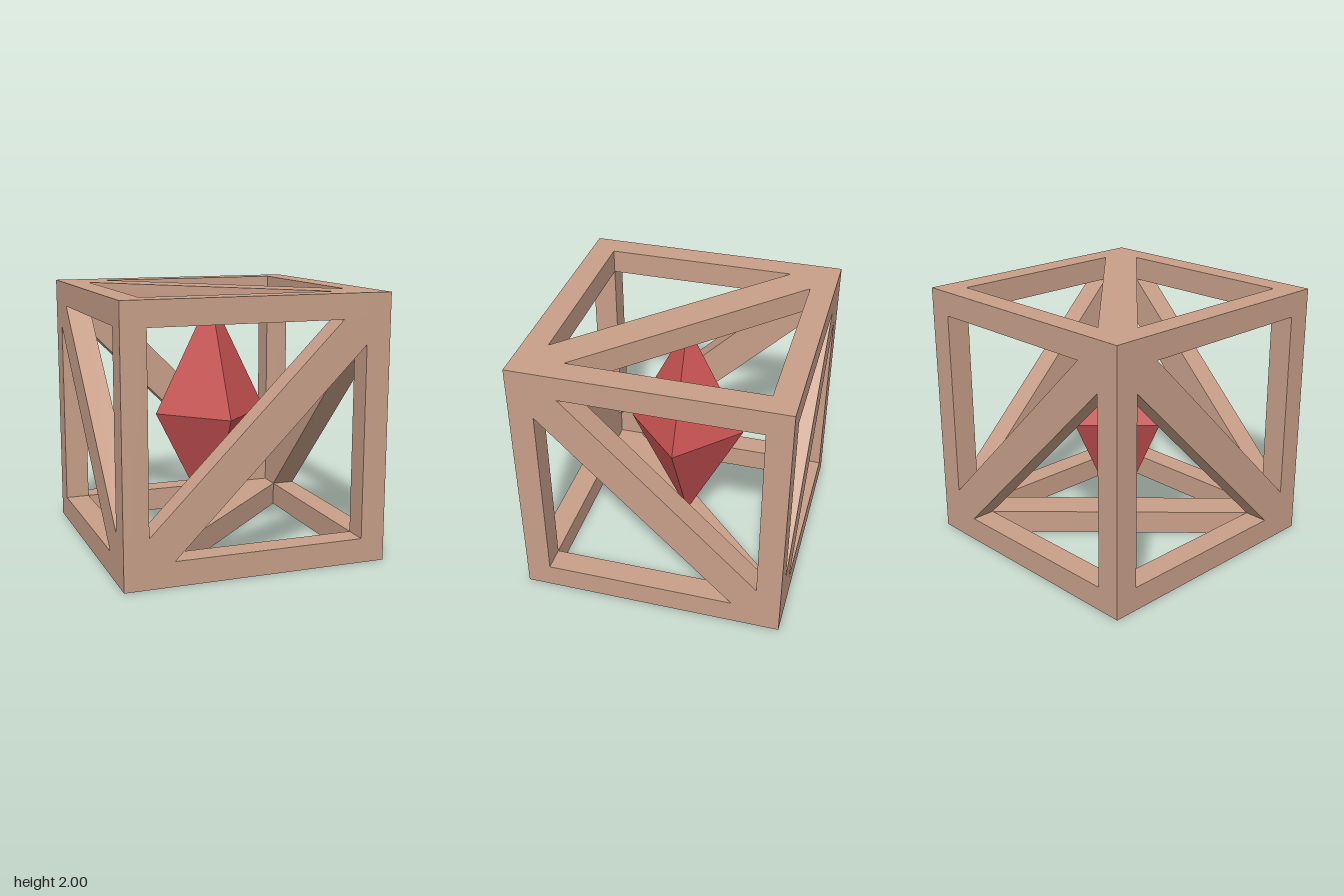
import * as THREE from 'three';

const T = 0.185;          // beam thickness
const IN = 1 - T;         // half size of each face opening
const MID = 1 - T / 2;    // beam centre line

export function createModel() {
  const model = new THREE.Group();
  const wood = new THREE.MeshStandardMaterial({ color: 0xc89f89, flatShading: true });
  const red = new THREE.MeshStandardMaterial({ color: 0xc85252, flatShading: true });

  const cage = new THREE.Group();
  cage.name = 'cage';
  cage.position.y = 1;
  model.add(cage);

  const beam = (name, size, pos) => {
    const mesh = new THREE.Mesh(new THREE.BoxGeometry(...size), wood);
    mesh.name = name;
    mesh.position.set(...pos);
    cage.add(mesh);
  };

  // Four corner posts, with rails butted between them at top and bottom
  for (const a of [-1, 1]) {
    for (const b of [-1, 1]) {
      beam('cornerPost', [T, 2, T], [a * MID, 0, b * MID]);
      beam('crossRail', [2 * IN, T, T], [0, a * MID, b * MID]);
      beam('sideRail', [T, T, 2 * IN], [a * MID, b * MID, 0]);
    }
  }

  // One diagonal brace per face, its ends pointed to fit the opening's corners
  const s = IN - T;
  const outline = [[-IN, -IN], [-s, -IN], [IN, s], [IN, IN], [s, IN], [-IN, -s]];
  const braceGeometry = new THREE.ExtrudeGeometry(
    new THREE.Shape(outline.map(([x, y]) => new THREE.Vector2(x, y))),
    { depth: T, bevelEnabled: false }
  );
  braceGeometry.translate(0, 0, IN);
  const Q = Math.PI / 2;
  const braces = {
    frontBrace: [0, 0, 0],
    backBrace: [0, 2 * Q, 0],
    leftBrace: [0, Q, Q],
    rightBrace: [0, -Q, Q],
    topBrace: [-Q, 0, Q],
    bottomBrace: [Q, 0, Q],
  };
  for (const [name, turn] of Object.entries(braces)) {
    const brace = new THREE.Mesh(braceGeometry, wood);
    brace.name = name;
    brace.rotation.set(...turn);
    cage.add(brace);
  }

  // Stretched octahedral crystal held between the top and bottom braces
  const crystal = new THREE.Mesh(new THREE.OctahedronGeometry(1), red);
  crystal.name = 'crystal';
  crystal.scale.set(0.45, 0.9, 0.45);
  crystal.position.set(0, 1.02, -0.02);
  model.add(crystal);

  return model;
}
